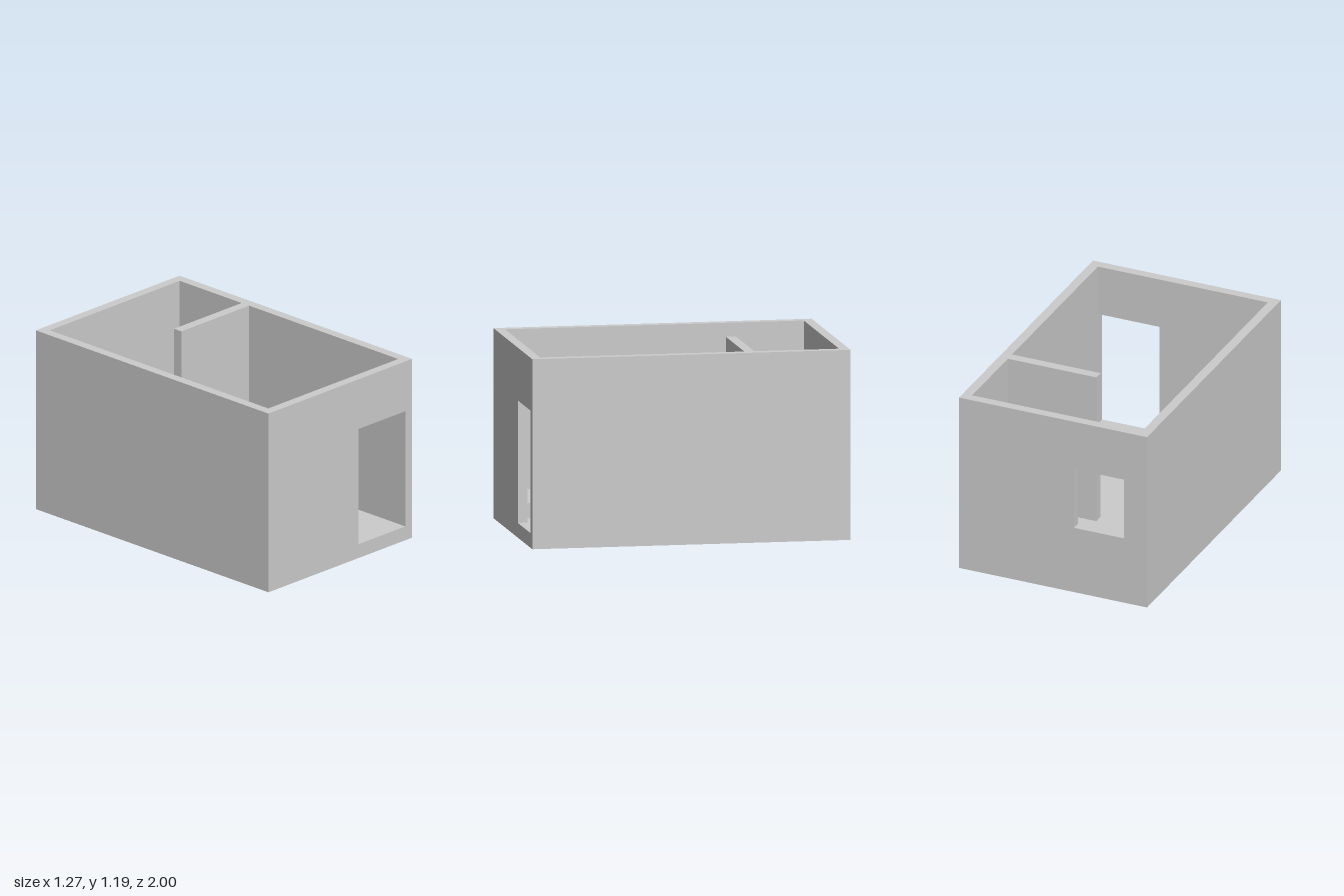
import * as THREE from 'three';

const W = 0.637, D = 1, H = 1.187, T = 0.061; // half width, half depth, height, wall thickness
const IX = W - T, IZ = D - T;                 // inner half sizes
const LOW = 0.092, HIGH = 0.185;              // the two floor levels
const PX = -0.024, PZ0 = -0.406, PZ1 = -0.343; // free end and faces of the partition

const material = new THREE.MeshStandardMaterial({ color: 0xcccccc });

function add(group, name, geometry) {
  const mesh = new THREE.Mesh(geometry, material);
  mesh.name = name;
  group.add(mesh);
  return mesh;
}

// Box given by its lower and upper corners
function block(group, name, [x0, y0, z0], [x1, y1, z1]) {
  const geometry = new THREE.BoxGeometry(x1 - x0, y1 - y0, z1 - z0);
  geometry.translate((x0 + x1) / 2, (y0 + y1) / 2, (z0 + z1) / 2);
  return add(group, name, geometry);
}

function rect(Type, x0, y0, x1, y1) {
  return new Type([[x0, y0], [x1, y0], [x1, y1], [x0, y1]].map(([x, y]) => new THREE.Vector2(x, y)));
}

// Full-width end wall with one rectangular opening
function endWall(group, name, z, opening) {
  const shape = rect(THREE.Shape, -W, 0, W, H);
  shape.holes.push(rect(THREE.Path, ...opening));
  const geometry = new THREE.ExtrudeGeometry(shape, { depth: T, bevelEnabled: false });
  geometry.translate(0, 0, z);
  return add(group, name, geometry);
}

export function createModel() {
  const room = new THREE.Group();
  room.name = 'room';

  // End walls: doorway in front, window at the back
  endWall(room, 'frontWall', IZ, [0.159, LOW, IX, 0.857]);
  endWall(room, 'backWall', -D, [-0.48, 0.448, -0.143, 0.857]);

  // Side walls
  block(room, 'leftWall', [IX, 0, -IZ], [W, H, IZ]);
  block(room, 'rightWall', [-W, 0, -IZ], [-IX, H, IZ]);

  // Lower floor inside the door
  block(room, 'entryFloor', [PX, 0, PZ1], [IX, LOW, IZ]);

  // Raised L-shaped floor around it, drawn in x and -z, then laid flat
  const outline = [[-IX, -IZ], [PX, -IZ], [PX, -PZ1], [IX, -PZ1], [IX, IZ], [-IX, IZ]];
  const floor = new THREE.ExtrudeGeometry(
    new THREE.Shape(outline.map(([x, y]) => new THREE.Vector2(x, y))),
    { depth: HIGH, bevelEnabled: false });
  floor.rotateX(-Math.PI / 2);
  add(room, 'raisedFloor', floor);

  // Partition reaching in from the left wall
  block(room, 'partitionWall', [PX, HIGH, PZ0], [IX, H, PZ1]);

  return room;
}
